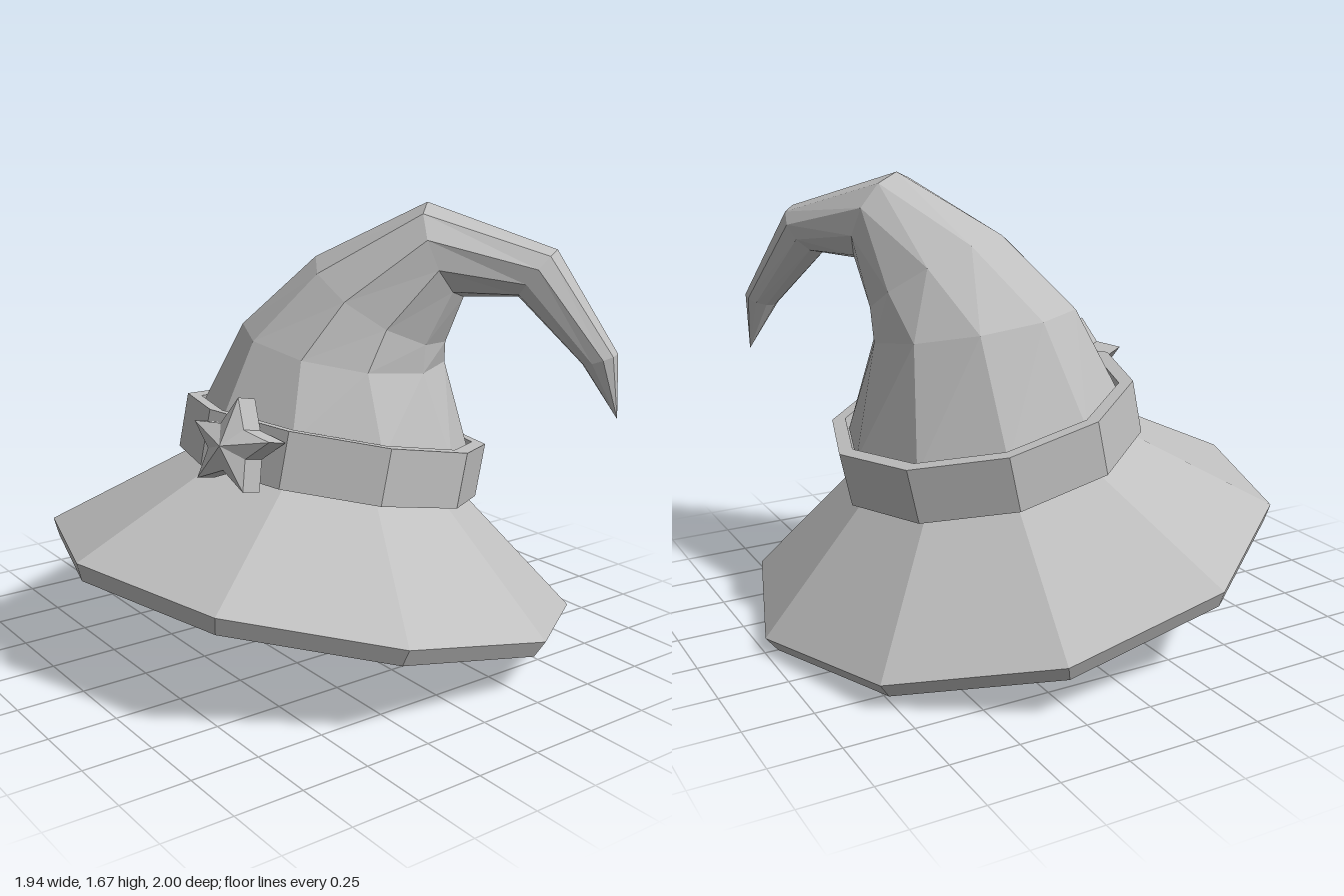
import * as THREE from 'three';

const SIDES = 10;
const TILT = -0.211;

// Skin consecutive rings of points (counter-clockwise about the direction of travel)
function loft(rings) {
  const pos = [];
  for (let i = 0; i < rings.length - 1; i++) {
    const n = rings[i].length;
    for (let j = 0; j < n; j++) {
      const k = (j + 1) % n;
      const a = rings[i][j], b = rings[i][k], c = rings[i + 1][k], d = rings[i + 1][j];
      for (const p of [a, b, c, a, c, d]) pos.push(p.x, p.y, p.z);
    }
  }
  const geo = new THREE.BufferGeometry();
  geo.setAttribute('position', new THREE.Float32BufferAttribute(pos, 3));
  geo.computeVertexNormals();
  return geo;
}

const angle = (j, start) => ((start + 36 * j) * Math.PI) / 180;

// Level ten-sided ring about the hat's own axis
function flatRing(r, y, start = 18) {
  return Array.from({ length: SIDES }, (_, j) =>
    new THREE.Vector3(r * Math.cos(angle(j, start)), y, 0.06 - r * Math.sin(angle(j, start))));
}

// Ten-sided ring in the plane the crown bends in:
// s along the bend, y up, lean of the ring, twist about its own axis
const bend = new THREE.Vector3(0.823, 0, -0.568);
const across = new THREE.Vector3(-0.568, 0, -0.823);
function bentRing(s, y, r, leanDeg, twist) {
  const lean = (leanDeg * Math.PI) / 180;
  const u = bend.clone().multiplyScalar(Math.cos(lean));
  u.y = -Math.sin(lean);
  const centre = bend.clone().multiplyScalar(s).add(new THREE.Vector3(0, y, -0.12));
  return Array.from({ length: SIDES }, (_, j) => centre.clone()
    .addScaledVector(u, r * Math.cos(angle(j, twist)))
    .addScaledVector(across, r * Math.sin(angle(j, twist))));
}

// Five-pointed star outline
function starRing(r, z) {
  return Array.from({ length: 10 }, (_, j) => {
    const a = Math.PI / 2 + (j * Math.PI) / 5;
    const q = j % 2 ? r * 0.5 : r;
    return new THREE.Vector3(q * Math.cos(a), q * Math.sin(a), z);
  });
}

export function createModel() {
  const grey = new THREE.MeshStandardMaterial({ color: 0xbfbfbf, flatShading: true });
  grey.name = 'grey';

  const hat = new THREE.Group();
  hat.name = 'pointedHat';
  const tilted = new THREE.Group();
  tilted.name = 'tiltedBase';
  tilted.rotation.x = TILT;
  hat.add(tilted);

  const add = (parent, name, rings) => {
    const mesh = new THREE.Mesh(loft(rings), grey);
    mesh.name = name;
    parent.add(mesh);
    return mesh;
  };
  const profile = (points) => points.map(([r, y]) => flatRing(r, y));

  // Wide sloping brim with a hollow underside
  add(tilted, 'brim', profile([
    [0, 0.57], [0.52, 0.57], [0.99, 0.197], [1.022, 0.261], [0.53, 0.632],
  ]));

  // Band around the foot of the crown
  add(tilted, 'band', profile([
    [0.5, 0.627], [0.583, 0.627], [0.583, 0.834], [0.53, 0.834], [0.525, 0.72],
  ]));

  // Crown bending over into a drooping point
  const base = flatRing(0.525, 0.79, 54).map((p) =>
    p.applyAxisAngle(new THREE.Vector3(1, 0, 0), TILT));
  add(hat, 'crown', [
    base,
    bentRing(0.02, 1.13, 0.39, 10, 14),
    bentRing(0.165, 1.305, 0.29, 32, 7),
    bentRing(0.41, 1.5, 0.184, 67, 0),
    bentRing(0.75, 1.43, 0.11, 127, 0),
    bentRing(0.985, 1.135, 0.066, 160, 0),
    bentRing(1.057, 0.92, 0, 170, 0),
  ]);

  // Star ornament, raised to a peak in the middle
  const star = add(tilted, 'star', [
    starRing(0, -0.1), starRing(0.172, -0.1), starRing(0.172, 0), starRing(0, 0.05),
  ]);
  star.position.set(0.23, 0.748, 0.695);
  star.rotation.set(-0.05, 0.35, 0);

  return hat;
}
